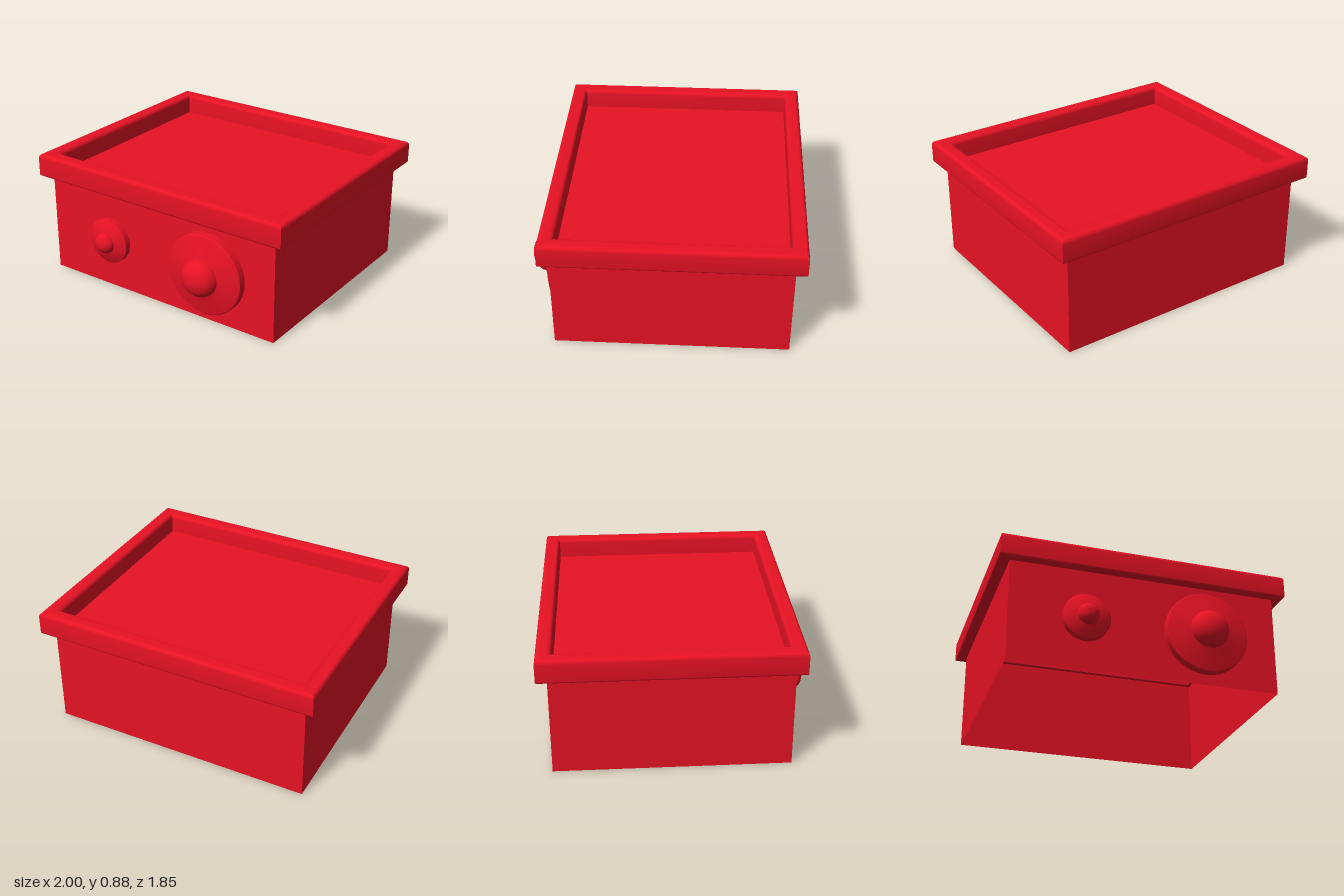
import * as THREE from 'three';
import { toCreasedNormals } from 'three/addons/utils/BufferGeometryUtils.js';

const red = new THREE.MeshStandardMaterial({ color: 0xe81224 });
const redShell = new THREE.MeshStandardMaterial({ color: 0xe81224, side: THREE.DoubleSide });

function add(parent, name, geometry, material = red) {
  const mesh = new THREE.Mesh(geometry, material);
  mesh.name = name;
  parent.add(mesh);
  return mesh;
}

// Points of an arc around (cx, cy), angles in quarter turns
function arc(cx, cy, r, from, to, steps = 6) {
  return Array.from({ length: steps + 1 }, (_, i) => {
    const a = (from + (to - from) * i / steps) * Math.PI / 2;
    return [cx + r * Math.cos(a), cy + r * Math.sin(a)];
  });
}

// Sweeps a closed [inset, y] profile around a rectangle with mitred corners
function mitredFrame(profile, halfX, halfZ) {
  const corners = [[1, 1], [1, -1], [-1, -1], [-1, 1]];
  const positions = [];
  const put = (k, j) => {
    const [sx, sz] = corners[k % 4];
    const [inset, y] = profile[j % profile.length];
    positions.push(sx * (halfX - inset), y, sz * (halfZ - inset));
  };
  for (let k = 0; k < 4; k++) {
    for (let j = 0; j < profile.length; j++) {
      put(k, j); put(k + 1, j); put(k + 1, j + 1);
      put(k, j); put(k + 1, j + 1); put(k, j + 1);
    }
  }
  const geometry = new THREE.BufferGeometry();
  geometry.setAttribute('position', new THREE.Float32BufferAttribute(positions, 3));
  return toCreasedNormals(geometry, 0.6);
}

// Round stud: short disc, sloping shoulder and domed button
function studGeometry(radius, rimZ, shoulderZ, domeRadius, domeHeight, backZ) {
  const dome = arc(0, 0, 1, 0, 1, 12).map(([c, s]) =>
    [Math.max(0, c * domeRadius), shoulderZ + s * domeHeight]);
  const profile = [[0, backZ], [radius, backZ], [radius, rimZ - 0.005], [radius - 0.006, rimZ], ...dome];
  const geometry = new THREE.LatheGeometry(profile.map(([r, z]) => new THREE.Vector2(r, z)), 64);
  return toCreasedNormals(geometry.rotateX(Math.PI / 2), 0.4);
}

export function createModel() {
  const model = new THREE.Group();
  model.name = 'brick';

  // Hollow body, open underneath
  const height = 0.735;
  const box = new THREE.BoxGeometry(1.85, height, 1.585).translate(0, height / 2, -0.0625);
  const faces = Array.from(box.index.array);
  faces.splice(18, 6); // the bottom face
  box.setIndex(faces);
  box.clearGroups();
  add(model, 'body', box, redShell);

  // Raised rim: up the outside, over the top, down the inside
  const low = 0.71, high = 0.877, width = 0.105, r = 0.03;
  const profile = [
    ...arc(0.015, low + 0.015, 0.015, 3, 2, 4),
    ...arc(r, high - r, r, 2, 1),
    ...arc(width - r, high - r, r, 1, 0),
    [width, low],
  ];
  const rim = add(model, 'rim', mitredFrame(profile, 1, 0.858));
  rim.position.z = -0.066;

  // Front studs
  const large = add(model, 'largeStud', studGeometry(0.285, 0.787, 0.825, 0.132, 0.1, 0.72));
  large.position.set(0.415, 0.358, 0);
  const small = add(model, 'smallStud', studGeometry(0.16, 0.775, 0.8, 0.074, 0.06, 0.73));
  small.position.set(-0.41, 0.358, 0);

  return model;
}
